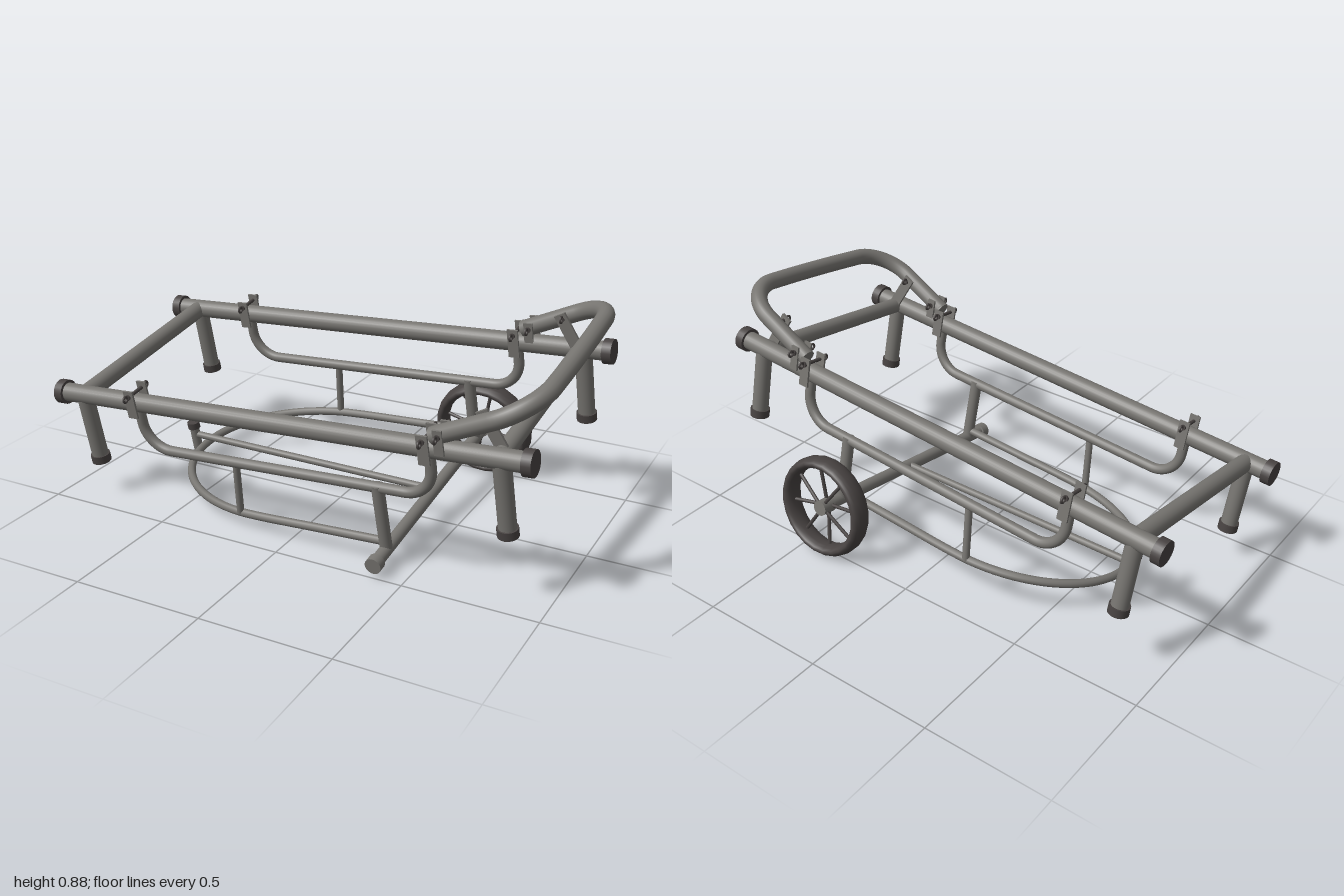
import * as THREE from 'three';

const V = (x, y, z) => new THREE.Vector3(x, y, z);

export function createModel() {
  const pipeGrey = new THREE.MeshStandardMaterial({ color: 0x777571 });
  pipeGrey.name = 'pipe grey';
  const rubber = new THREE.MeshStandardMaterial({ color: 0x484342 });
  rubber.name = 'dark rubber';

  const model = new THREE.Group();
  model.name = 'handCart';
  const frame = new THREE.Group();
  frame.name = 'tiltedFrame';
  model.add(frame);

  const add = (name, geo, mat, pos, parent = frame) => {
    const m = new THREE.Mesh(geo, mat);
    m.name = name;
    if (pos) m.position.copy(pos);
    parent.add(m);
    return m;
  };
  // Straight round bar between two points
  const bar = (name, a, b, r, mat = pipeGrey, sides = 24, parent = frame) => {
    const d = b.clone().sub(a);
    const m = add(name, new THREE.CylinderGeometry(r, r, d.length(), sides), mat,
      a.clone().add(b).multiplyScalar(0.5), parent);
    m.quaternion.setFromUnitVectors(V(0, 1, 0), d.normalize());
    return m;
  };
  // Bent tube through points, each inner corner rounded by length c
  const bent = (name, pts, c, r) => {
    const path = new THREE.CurvePath();
    let last = pts[0];
    for (let i = 1; i < pts.length - 1; i++) {
      const p = pts[i];
      const a = p.clone().add(pts[i - 1].clone().sub(p).setLength(c));
      const b = p.clone().add(pts[i + 1].clone().sub(p).setLength(c));
      // Cubic corner close to a circular arc
      path.add(new THREE.LineCurve3(last, a));
      path.add(new THREE.CubicBezierCurve3(a, a.clone().lerp(p, 0.55), b.clone().lerp(p, 0.55), b));
      last = b;
    }
    path.add(new THREE.LineCurve3(last, pts[pts.length - 1]));
    return add(name, new THREE.TubeGeometry(path, 110, r, 16), pipeGrey);
  };
  // Small eyelet seen from the ends of the cart
  const eyelet = (p) => {
    add('boltEye', new THREE.TorusGeometry(0.011, 0.0045, 8, 14), rubber, p).rotation.y = Math.PI / 2;
  };
  // Clamp: two cheek plates and a cross bolt with eyelets
  const clamp = (u, w, v0, v1, bolt, half, width) => {
    for (const s of [-1, 1]) {
      add('clampPlate', new THREE.BoxGeometry(width, v1 - v0, 0.008), pipeGrey, V(u, (v0 + v1) / 2, w + s * half));
      add('clampBoltHead', new THREE.CylinderGeometry(0.011, 0.011, 0.008, 12), rubber,
        V(u, bolt, w + s * (half + 0.007))).rotation.x = Math.PI / 2;
      eyelet(V(u, bolt, w + s * (half + 0.022)));
    }
    bar('clampBolt', V(u, bolt, w - half - 0.012), V(u, bolt, w + half + 0.012), 0.007, rubber, 10);
  };

  const W = 0.397;
  for (const s of [-1, 1]) {
    const w = s * W;
    // Main rails with end caps
    bar('sideRail', V(-0.945, 0, w), V(0.945, 0, w), 0.036);
    for (const e of [-1, 1]) {
      bar('railEndCap', V(e * 0.937, 0, w), V(e * 0.972, 0, w), 0.047, rubber);
      // Legs and feet
      bar('leg', V(e * 0.857, 0, w), V(e * 0.857, -0.27, w), 0.032);
      bar('legFoot', V(e * 0.857, -0.264, w), V(e * 0.857, -0.296, w), 0.038, rubber);
      clamp(e * 0.6, w, -0.045, 0.068, 0.045, 0.041, 0.042);
    }
    // Hanging side tubes and their struts
    bent('hangingSideTube', [V(-0.6, -0.02, w), V(-0.6, -0.195, w), V(0.6, -0.195, w), V(0.6, -0.02, w)], 0.11, 0.02);
    bar('thinStrut', V(-0.2, -0.195, w), V(-0.225, -0.42, w), 0.014, pipeGrey, 16);
    bar('axleStrut', V(0.385, -0.185, w), V(0.385, -0.455, w), 0.023);
    // Handle clamps and support plates
    clamp(0.658, s * 0.403, 0.0, 0.095, 0.07, 0.034, 0.034);
    const plate = add('handleSupportPlate', new THREE.BoxGeometry(0.045, 0.17, 0.01), pipeGrey, V(0.822, 0.07, s * 0.362));
    plate.rotation.z = 0.44;
    eyelet(V(0.797, 0.134, s * 0.345));
    bar('supportBolt', V(0.797, 0.13, s * 0.35), V(0.797, 0.13, s * 0.376), 0.009, rubber, 10);
  }
  bar('rearCrossbar', V(-0.857, 0, -W), V(-0.857, 0, W), 0.034);
  bar('frontCrossbar', V(0.85, 0, -W), V(0.85, 0, W), 0.031);

  // Push handle
  bent('pushHandle', [V(0.63, 0.055, -0.405), V(0.985, 0.198, -0.408), V(0.995, 0.2, 0),
    V(0.985, 0.198, 0.408), V(0.63, 0.055, 0.405)], 0.16, 0.032);
  for (const s of [-1, 1]) {
    const cap = V(0.63, 0.055, s * 0.405);
    bar('handleTubeEnd', cap, cap.clone().add(V(-0.006, -0.0024, 0)), 0.0315);
  }

  // Lower loop: straight arms joined by a half ellipse
  const loop = [V(0.385, -0.42, W), V(0.1, -0.42, W)];
  for (let i = 0; i <= 16; i++) {
    const a = Math.PI / 2 + (i / 16) * Math.PI;
    loop.push(V(-0.155 + 0.5 * Math.cos(a), -0.42, W * Math.sin(a)));
  }
  loop.push(V(0.1, -0.42, -W), V(0.385, -0.42, -W));
  add('lowerLoop', new THREE.TubeGeometry(new THREE.CatmullRomCurve3(loop), 100, 0.016, 12), pipeGrey);

  // Centre bar and tail post
  bar('centreBar', V(-0.69, -0.372, 0.006), V(0.385, -0.45, 0), 0.014, pipeGrey, 16);
  bar('tailPost', V(-0.69, -0.475, 0.006), V(-0.69, -0.33, 0.006), 0.019);
  bar('tailPostCap', V(-0.69, -0.342, 0.006), V(-0.69, -0.315, 0.006), 0.025, rubber);
  bar('tailPostFoot', V(-0.69, -0.485, 0.006), V(-0.69, -0.468, 0.006), 0.022);

  // Axle
  const AU = 0.385, AV = -0.455;
  bar('axle', V(AU, AV, -0.5), V(AU, AV, 0.5), 0.024);
  bar('axleCollar', V(AU, AV, 0.47), V(AU, AV, 0.505), 0.031);

  // Single spoked wheel
  const wheel = new THREE.Group();
  wheel.name = 'wheel';
  wheel.position.set(AU, AV, -0.492);
  frame.add(wheel);
  const tyre = new THREE.TorusGeometry(0.179, 0.022, 16, 24);
  tyre.scale(1, 1, 1.95);
  add('tyre', tyre, rubber, null, wheel);
  bar('hub', V(0, 0, -0.03), V(0, 0, 0.03), 0.03, pipeGrey, 20, wheel);
  for (let i = 0; i < 8; i++) {
    const a = (i + 0.5) * Math.PI / 4;
    const z = i % 2 ? 0.015 : -0.015;
    bar('spoke', V(0.02 * Math.cos(a), 0.02 * Math.sin(a), z),
      V(0.168 * Math.cos(a + 0.12), 0.168 * Math.sin(a + 0.12), 0), 0.007, rubber, 8, wheel);
  }

  // Lean of the whole cart
  const X = V(0.9975, 0.068, 0.0235).normalize();
  const Y = V(-0.015, -0.155, 0.988).cross(X).normalize();
  const Z = X.clone().cross(Y);
  frame.quaternion.setFromRotationMatrix(new THREE.Matrix4().makeBasis(X, Y, Z));
  frame.position.set(-0.02, 0.551, 0.061);
  return model;
}
